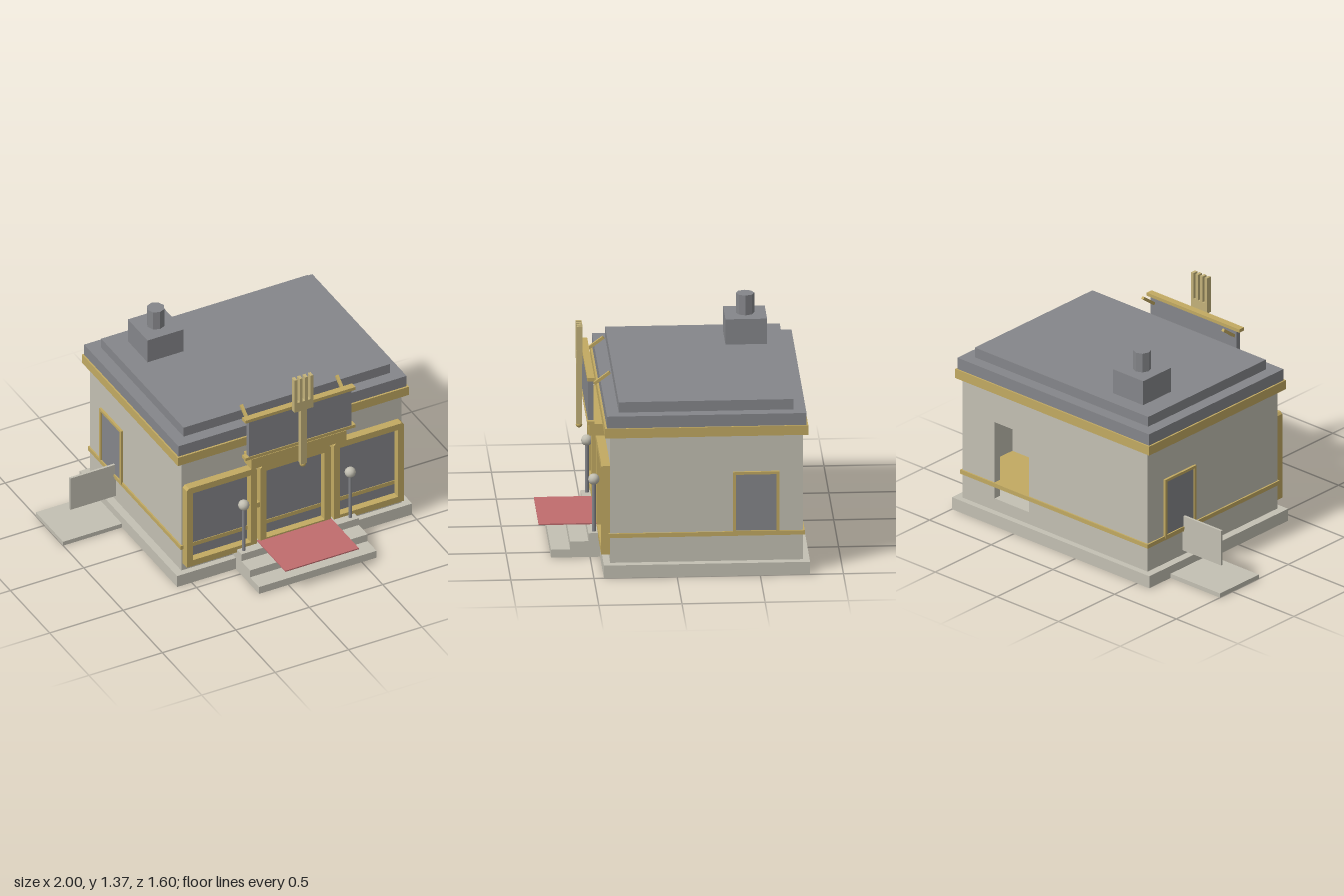
import * as THREE from 'three';

export function createModel() {
  const model = new THREE.Group();
  const mat = (name, color) => {
    const m = new THREE.MeshStandardMaterial({ color });
    m.name = name;
    return m;
  };
  const stone = mat('stone', 0xc3c0b3);
  const slate = mat('slate', 0x85868a);
  const gold = mat('gold', 0xc2aa62);
  const paleGold = mat('pale gold', 0xc3b27a);
  const red = mat('carpet red', 0xc06c6e);

  const add = (name, geometry, material, parent = model) => {
    const mesh = new THREE.Mesh(geometry, material);
    mesh.name = name;
    parent.add(mesh);
    return mesh;
  };
  // Box given by its limits on each axis
  const box = (name, material, x0, x1, y0, y1, z0, z1, parent = model) => {
    const mesh = add(name, new THREE.BoxGeometry(x1 - x0, y1 - y0, z1 - z0), material, parent);
    mesh.position.set((x0 + x1) / 2, (y0 + y1) / 2, (z0 + z1) / 2);
    return mesh;
  };
  const rect = (Type, x0, x1, y0, y1) => new Type([
    new THREE.Vector2(x0, y0), new THREE.Vector2(x1, y0),
    new THREE.Vector2(x1, y1), new THREE.Vector2(x0, y1),
  ]);
  const extrude = (shape, depth) => new THREE.ExtrudeGeometry(shape, { depth, bevelEnabled: false });

  // Base and entrance steps
  box('base', stone, -0.6, 1, 0, 0.08, -0.8, 0.44);
  [0.735, 0.62, 0.51].forEach((z, i) =>
    box('step', stone, -0.2, 0.6, i * 0.05, (i + 1) * 0.05, 0.4, z));
  box('carpet', red, -0.055, 0.445, 0.154, 0.162, 0.44, 0.8);

  // Walls, with a hollow room behind the rear doorway
  box('frontBlock', stone, -0.55, 0.95, 0.08, 0.89, -0.37, 0.4);
  for (const x of [-0.55, 0.9]) box('rearSideWall', stone, x, x + 0.05, 0.08, 0.89, -0.71, -0.37);
  const backShape = rect(THREE.Shape, -0.55, 0.95, 0.08, 0.89);
  backShape.holes.push(rect(THREE.Path, 0.41, 0.69, 0.16, 0.67));
  add('backWall', extrude(backShape, 0.05), stone).position.z = -0.76;
  box('bandFloor', gold, -0.56, 0.96, 0.24, 0.267, -0.77, 0.41);

  // Cornice, stepped roof and chimney
  box('cornice', gold, -0.59, 0.983, 0.88, 0.94, -0.79, 0.432);
  box('lowerRoof', slate, -0.58, 0.973, 0.94, 1.015, -0.78, 0.42);
  box('upperRoof', slate, -0.505, 0.9, 1.015, 1.08, -0.705, 0.345);
  box('chimney', slate, -0.375, -0.13, 1.08, 1.24, -0.607, -0.357);
  const pipe = new THREE.CylinderGeometry(0.055, 0.055, 0.125, 8).toNonIndexed();
  pipe.computeVertexNormals();
  add('chimneyPipe', pipe, slate).position.set(-0.253, 1.3025, -0.482);

  // Framed pane centred on its own origin, facing +z
  const framedPane = (name, w, h, border, depth) => {
    const g = new THREE.Group();
    g.name = name;
    const c = 0.015 * (depth > 0.03 ? 1 : 0);
    const s = new THREE.Shape();
    s.moveTo(-w / 2, -h / 2);
    s.lineTo(w / 2, -h / 2);
    s.lineTo(w / 2, h / 2 - c);
    s.lineTo(w / 2 - c, h / 2);
    s.lineTo(-w / 2 + c, h / 2);
    s.lineTo(-w / 2, h / 2 - c);
    s.closePath();
    const iw = w / 2 - border, ih = h / 2 - border;
    s.holes.push(rect(THREE.Path, -iw, iw, -ih, ih));
    add('frame', extrude(s, depth), gold, g);
    box('pane', slate, -iw, iw, -ih, ih, 0, 0.006, g);
    model.add(g);
    return g;
  };

  // Two shop windows with the entrance door between them
  [['leftmostWindow', -0.302], ['entranceDoor', 0.2], ['rightmostWindow', 0.7]].forEach(([name, x]) =>
    framedPane(name, 0.478, 0.575, 0.042, 0.053).position.set(x, 0.4175, 0.4));
  box('doorHandle', gold, -0.062, -0.038, 0.405, 0.44, 0.4, 0.445);

  // Side windows
  for (const s of [-1, 1]) {
    const w = framedPane('sideWindow', 0.278, 0.39, 0.017, 0.015);
    w.position.set(0.2 + s * 0.75, 0.45, -0.478);
    w.rotation.y = s * Math.PI / 2;
  }

  // Side slab and upright panel
  box('sideSlab', stone, -1, -0.6, 0, 0.028, -0.61, -0.262);
  box('sidePanel', stone, -0.86, -0.55, 0.11, 0.34, -0.447, -0.432);

  // Lamp posts
  for (const x of [-0.165, 0.56]) {
    add('lampPost', new THREE.CylinderGeometry(0.012, 0.012, 0.31, 8), slate).position.set(x, 0.305, 0.475);
    const globe = add('lampGlobe', new THREE.IcosahedronGeometry(0.035, 1), stone);
    globe.position.set(x, 0.48, 0.475);
  }

  // Canopy and sign board
  box('canopy', gold, -0.125, 0.52, 0.742, 0.815, 0.4, 0.5);
  box('signBoard', slate, -0.148, 0.548, 0.845, 1.108, 0.475, 0.51);
  box('signTopRail', gold, -0.175, 0.575, 1.105, 1.126, 0.472, 0.515);
  box('signBottomRail', gold, -0.175, 0.575, 0.83, 0.85, 0.472, 0.515);
  for (const x of [-0.13, 0.52]) {
    const strut = add('signStrut', new THREE.BoxGeometry(0.018, 0.018, 0.12), gold);
    strut.position.set(x, 1.107, 0.425);
    strut.rotation.x = 0.64;
  }

  // Fork ornament
  const fork = new THREE.Group();
  fork.name = 'forkOrnament';
  model.add(fork);
  box('forkHandle', paleGold, 0.18, 0.22, 0.715, 1.12, 0.525, 0.56, fork);
  box('forkPalm', paleGold, 0.135, 0.263, 1.11, 1.175, 0.525, 0.56, fork);
  for (let i = 0; i < 4; i++) {
    const x = 0.135 + i * 0.0363;
    box('forkTine', paleGold, x, x + 0.019, 1.17, 1.346, 0.525, 0.56, fork);
  }
  add('forkKnob', new THREE.IcosahedronGeometry(0.02, 1), gold, fork).position.set(0.2, 0.706, 0.543);

  return model;
}
